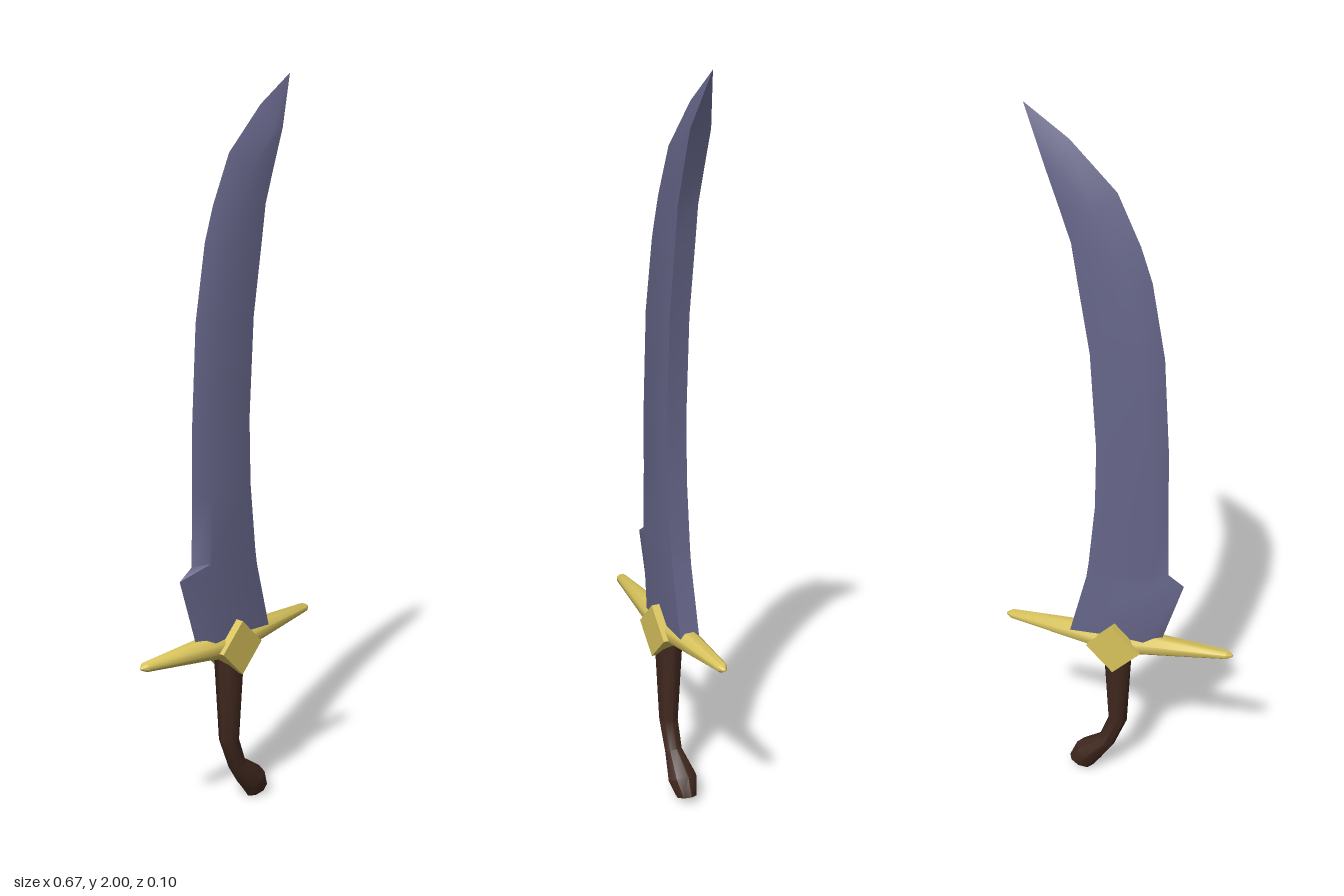
import * as THREE from 'three';
import { toCreasedNormals } from 'three/addons/utils/BufferGeometryUtils.js';

const blue = new THREE.MeshStandardMaterial({ color: 0x66668a });
blue.name = 'bluish steel';
const gold = new THREE.MeshStandardMaterial({ color: 0xd8c35c });
gold.name = 'gold';
const brown = new THREE.MeshStandardMaterial({ color: 0x40281e });
brown.name = 'dark brown grip';

// Skins a list of rings (each counterclockwise about the direction of travel) and caps both ends.
function loft(rings, crease) {
  const n = rings[0].length;
  const index = [];
  for (let i = 0; i < rings.length - 1; i++) {
    for (let j = 0; j < n; j++) {
      const a = i * n + j, b = i * n + (j + 1) % n;
      index.push(a, b, b + n, a, b + n, a + n);
    }
  }
  const last = (rings.length - 1) * n;
  for (let j = 1; j < n - 1; j++) {
    index.push(0, j + 1, j, last, last + j, last + j + 1);
  }
  const geometry = new THREE.BufferGeometry();
  geometry.setAttribute('position', new THREE.Float32BufferAttribute(rings.flat(2), 3));
  geometry.setIndex(index);
  return toCreasedNormals(geometry, crease);
}

function part(name, geometry, material) {
  const mesh = new THREE.Mesh(geometry, material);
  mesh.name = name;
  return mesh;
}

// Blade: sharp convex edge, bevel line, then a flat spine on the concave side.
function bladeGeometry() {
  const t = 0.028;
  // edge x, y, bevel x, y, spine x, y, half thickness
  const stations = [
    [-0.125, 0.50, -0.08, 0.50, 0.135, 0.50, t],
    [-0.19, 0.705, -0.10, 0.70, 0.082, 0.70, t],
    [-0.145, 0.735, -0.10, 0.74, 0.075, 0.745, t],
    [-0.142, 0.92, -0.096, 0.92, 0.055, 0.93, t],
    [-0.14, 1.11, -0.094, 1.11, 0.05, 1.11, t],
    [-0.125, 1.38, -0.078, 1.37, 0.065, 1.38, t],
    [-0.09, 1.58, -0.04, 1.56, 0.095, 1.57, t],
    [-0.06, 1.67, -0.01, 1.64, 0.11, 1.67, t],
    [0.00, 1.80, 0.05, 1.75, 0.142, 1.765, t],
    [0.12, 1.92, 0.14, 1.86, 0.175, 1.86, t],
    [0.235, 2.00, 0.235, 2.00, 0.235, 2.00, 0],
  ];
  return loft(stations.map(([ex, ey, bx, by, sx, sy, z]) => [
    [ex, ey, 0], [bx, by, z], [sx, sy, z], [sx, sy, -z], [bx, by, -z],
  ]), 0.75);
}

// Crossguard: mirrored tapering arms with an eight-sided section.
function guardGeometry() {
  // x, centre y, half height, half depth
  const half = [
    [0.035, 0.490, 0.035, 0.040],
    [0.318, 0.506, 0.012, 0.015],
    [0.335, 0.505, 0.003, 0.003],
  ];
  const stations = [...half.map(([x, ...r]) => [-x, ...r]).reverse(), ...half];
  return loft(stations.map(([x, y, h, d]) => Array.from({ length: 8 }, (_, j) => {
    const a = (j + 0.5) * Math.PI / 4, k = 1 / Math.cos(Math.PI / 8);
    return [x, y + Math.cos(a) * h * k, Math.sin(a) * d * k];
  })), 0.9);
}

// Grip: eight-sided sections sweeping down and hooking towards +x.
function gripGeometry() {
  // left x, y, right x, y, half depth
  const stations = [
    [-0.043, 0.47, 0.043, 0.47, 0.042],
    [-0.028, 0.20, 0.028, 0.20, 0.028],
    [0.012, 0.10, 0.055, 0.128, 0.026],
    [0.055, 0.035, 0.127, 0.078, 0.043],
    [0.080, 0.00, 0.150, 0.025, 0.028],
  ];
  return loft(stations.map(([lx, ly, rx, ry, d]) => Array.from({ length: 8 }, (_, j) => {
    const a = j * Math.PI / 4, c = Math.cos(a) / 2;
    return [(lx + rx) / 2 + c * (rx - lx), (ly + ry) / 2 + c * (ry - ly), Math.sin(a) * d];
  })), 0.8);
}

export function createModel() {
  const group = new THREE.Group();
  group.name = 'curvedSword';
  group.add(part('blade', bladeGeometry(), blue));
  group.add(part('crossguard', guardGeometry(), gold));
  group.add(part('grip', gripGeometry(), brown));

  // Diamond block through the middle of the guard
  const side = 0.077 * Math.SQRT2;
  const diamond = part('guardDiamond', new THREE.BoxGeometry(side, side, 0.102), gold);
  diamond.rotation.z = Math.PI / 4;
  diamond.position.y = 0.483;
  group.add(diamond);
  return group;
}
